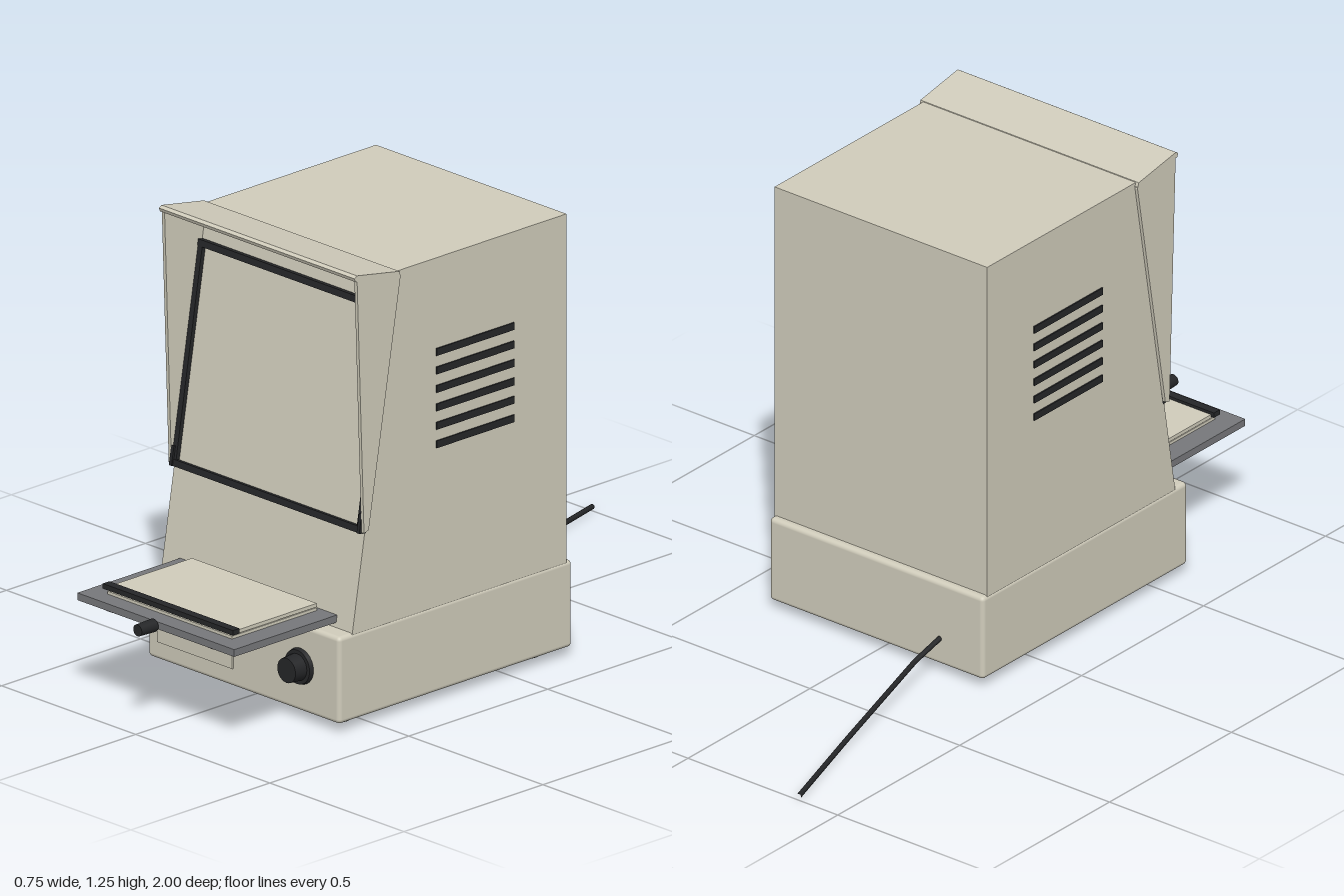
import * as THREE from 'three';
import { RoundedBoxGeometry } from 'three/addons/geometries/RoundedBoxGeometry.js';

const CX = 0.0075; // centre line of the cabinet

export function createModel() {
  const model = new THREE.Group();
  model.name = 'deskViewer';
  const mat = (name, color) => {
    const m = new THREE.MeshStandardMaterial({ color });
    m.name = name;
    return m;
  };
  const beige = mat('beige', 0xd0ccbb);
  const black = mat('black', 0x252628);
  const grey = mat('grey', 0x77787b);

  const add = (name, geometry, material, x = 0, y = 0, z = 0, parent = model) => {
    const mesh = new THREE.Mesh(geometry, material);
    mesh.name = name;
    mesh.position.set(x, y, z);
    parent.add(mesh);
    return mesh;
  };
  // Box given by its limits on each axis
  const box = (name, material, x0, x1, y0, y1, z0, z1, parent = model, radius = 0) => {
    const size = [x1 - x0, y1 - y0, z1 - z0];
    const geo = radius ? new RoundedBoxGeometry(...size, 3, radius) : new THREE.BoxGeometry(...size);
    return add(name, geo, material, (x0 + x1) / 2, (y0 + y1) / 2, (z0 + z1) / 2, parent);
  };
  // Side profile of [z, y] points, extruded across x
  const slab = (name, material, points, x, width) => {
    const shape = new THREE.Shape(points.map(([z, y]) => new THREE.Vector2(z, y)));
    const geo = new THREE.ExtrudeGeometry(shape, { depth: width, bevelEnabled: false });
    geo.rotateY(-Math.PI / 2).translate(width / 2, 0, 0);
    return add(name, geo, material, x);
  };
  // Cylinder along z from z0 to z1
  const dial = (name, material, x, y, z0, z1, r0, r1 = r0) => {
    const geo = new THREE.CylinderGeometry(r1, r0, z1 - z0, 24).rotateX(Math.PI / 2);
    return add(name, geo, material, x, y, (z0 + z1) / 2);
  };

  // Base and cabinet
  box('base', beige, -0.35, 0.365, 0.025, 0.265, -0.22, 0.62, model, 0.012);
  slab('cabinet', beige, [[-0.2, 0.255], [0.572, 0.255], [0.41, 1.225], [-0.2, 1.225]], CX, 0.71);

  // Hood: side cheeks and visor
  for (const s of [-1, 1]) {
    slab('hoodCheek', beige, [[0.405, 1.215], [0.52, 0.54], [0.537, 0.535], [0.562, 1.243]], CX + s * 0.359, 0.01);
  }
  slab('visor', beige, [[0.405, 1.21], [0.568, 1.238], [0.572, 1.248], [0.563, 1.254], [0.41, 1.227]], CX, 0.729);

  // Screen frame, tilted with the front of the cabinet
  const screen = new THREE.Group();
  screen.name = 'screen';
  screen.position.set(CX, 0.83, 0.476);
  screen.rotation.x = -0.165;
  model.add(screen);
  box('screenPane', beige, -0.335, 0.335, -0.29, 0.29, 0, 0.004, screen);
  for (const s of [-1, 1]) {
    box('frameSide', black, s * 0.345 - 0.008, s * 0.345 + 0.008, -0.3, 0.3, -0.005, 0.014, screen);
    box('frameRail', black, -0.353, 0.353, s * 0.295 - 0.009, s * 0.295 + 0.009, -0.005, 0.016, screen);
    box('frameBracket', black, s * 0.35 - 0.005, s * 0.35 + 0.005, -0.304, -0.25, -0.005, 0.02, screen);
  }

  // Cooling vents on both sides
  for (const s of [-1, 1]) {
    for (let i = 0; i < 6; i++) {
      const x = CX + s * 0.356;
      const y = 0.71 + i * 0.051;
      box('vent', black, x - 0.003, x + 0.003, y - 0.01, y + 0.01, -0.01, 0.27);
    }
  }

  // Film carriage: open grey tray, glass holder, clamp bar and pull knob
  const tray = new THREE.Shape();
  tray.moveTo(-0.285, -0.935).lineTo(0.3, -0.935).lineTo(0.3, -0.56).lineTo(-0.285, -0.56).closePath();
  const opening = new THREE.Path();
  opening.moveTo(-0.2, -0.85).lineTo(-0.2, -0.6).lineTo(0.215, -0.6).lineTo(0.215, -0.85).closePath();
  tray.holes.push(opening);
  const trayGeo = new THREE.ExtrudeGeometry(tray, { depth: 0.02, bevelEnabled: false }).rotateX(-Math.PI / 2);
  add('carriageTray', trayGeo, grey, 0, 0.278, 0);
  for (const x of [-0.193, 0.187]) {
    box('carriageRail', grey, x - 0.012, x + 0.012, 0.264, 0.28, 0.55, 0.91);
  }
  box('lowerGlass', beige, -0.225, 0.24, 0.298, 0.306, 0.58, 0.885);
  box('upperGlass', beige, -0.225, 0.24, 0.308, 0.318, 0.58, 0.872);
  box('clampBar', black, -0.235, 0.25, 0.312, 0.326, 0.868, 0.892);
  dial('pullStem', black, 0.007, 0.289, 0.93, 0.945, 0.009);
  dial('pullKnob', black, 0.007, 0.289, 0.942, 1.0, 0.018, 0.016);

  // Controls on the base
  box('controlPanel', beige, -0.31, -0.03, 0.075, 0.215, 0.617, 0.624);
  box('powerSwitch', black, -0.268, -0.207, 0.122, 0.168, 0.62, 0.63);
  dial('focusSkirt', black, 0.22, 0.15, 0.618, 0.632, 0.05, 0.047);
  dial('focusKnob', black, 0.22, 0.15, 0.63, 0.67, 0.037, 0.034);

  // Feet
  for (const x of [-0.27, 0.285]) {
    for (const z of [-0.14, 0.54]) {
      add('foot', new THREE.CylinderGeometry(0.028, 0.025, 0.028, 20), black, x, 0.014, z);
    }
  }

  // Power cord trailing behind
  const points = [[-0.205, 0.103, -0.21], [-0.205, 0.075, -0.32], [-0.275, 0.017, -0.69], [-0.37, 0.012, -1.0]]
    .map((p) => new THREE.Vector3(...p));
  const cord = new THREE.CurvePath();
  for (let i = 0; i < 3; i++) cord.add(new THREE.LineCurve3(points[i], points[i + 1]));
  add('powerCord', new THREE.TubeGeometry(cord, 60, 0.007, 8), black);

  return model;
}
